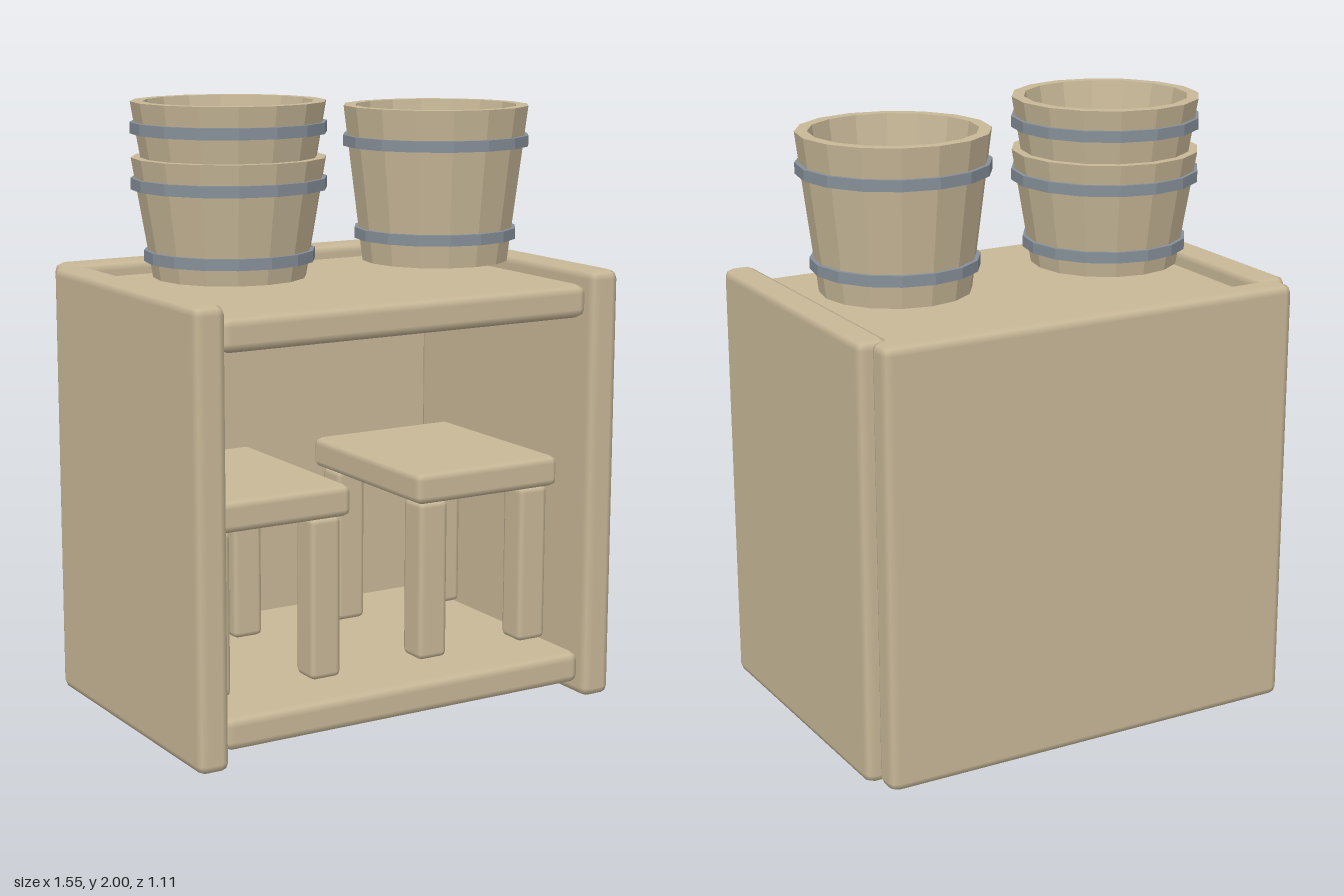
import * as THREE from 'three';
import { RoundedBoxGeometry } from 'three/addons/geometries/RoundedBoxGeometry.js';

const wood = new THREE.MeshStandardMaterial({ color: 0xc8b898 });
wood.name = 'wood';
const staveWood = new THREE.MeshStandardMaterial({ color: 0xc8b898, flatShading: true });
staveWood.name = 'stave wood';
const iron = new THREE.MeshStandardMaterial({ color: 0x868f99, flatShading: true });
iron.name = 'iron';

// Softly bevelled board given by its min and max on each axis
function board(name, [x0, x1], [y0, y1], [z0, z1], bevel = 0.03) {
  const geo = new RoundedBoxGeometry(x1 - x0, y1 - y0, z1 - z0, 1, bevel);
  const mesh = new THREE.Mesh(geo, wood);
  mesh.name = name;
  mesh.position.set((x0 + x1) / 2, (y0 + y1) / 2, (z0 + z1) / 2);
  return mesh;
}

function lathe(name, points, material) {
  const geo = new THREE.LatheGeometry(points.map(([r, y]) => new THREE.Vector2(r, y)), 16);
  const mesh = new THREE.Mesh(geo, material);
  mesh.name = name;
  return mesh;
}

// Tapered open bucket with two hoops
function bucket(name, x, y, height, hoopHeights) {
  const group = new THREE.Group();
  group.name = name;
  const rBase = 0.245, rRim = 0.31;
  group.add(lathe('bucketBody', [
    [0, 0], [rBase, 0], [rRim, height], [0.27, height], [0.205, 0.05], [0, 0.05],
  ], staveWood));
  for (const h of hoopHeights) {
    const r = rBase + (rRim - rBase) * h / height;
    const outer = r + 0.016, inner = r - 0.015, half = 0.018;
    group.add(lathe('hoop', [
      [inner, h - half], [outer, h - half], [outer, h + half], [inner, h + half],
    ], iron));
  }
  group.position.set(x, y, 0.03);
  return group;
}

// Stool with a thick seat and four square legs
function stool(name, x) {
  const group = new THREE.Group();
  group.name = name;
  group.add(board('seat', [-0.28, 0.28], [0.695, 0.8], [-0.34, 0.34], 0.025));
  for (const sx of [-1, 1]) for (const sz of [-1, 1]) {
    const lx = sx * 0.2, lz = sz * 0.26;
    group.add(board('leg', [lx - 0.055, lx + 0.055], [0.16, 0.697], [lz - 0.055, lz + 0.055], 0.02));
  }
  group.position.set(x, 0, 0.035);
  return group;
}

export function createModel() {
  const model = new THREE.Group();
  model.name = 'bucketCabinet';

  // Cabinet
  for (const [name, s] of [['leftSide', 1], ['rightSide', -1]]) {
    const xs = [s * 0.67, s * 0.777].sort((a, b) => a - b);
    model.add(board(name, xs, [0, 1.445], [-0.467, 0.555]));
  }
  model.add(board('back', [-0.737, 0.737], [0, 1.445], [-0.557, -0.455]));
  model.add(board('topShelf', [-0.672, 0.668], [1.29, 1.4], [-0.455, 0.53]));
  model.add(board('bottomShelf', [-0.672, 0.668], [0.05, 0.16], [-0.455, 0.53]));

  // Stools inside
  model.add(stool('rightStool', -0.41), stool('leftStool', 0.4));

  // Two nested short buckets and one tall bucket
  model.add(
    bucket('lowerBucket', -0.38, 1.445, 0.38, [0.07, 0.298]),
    bucket('nestedBucket', -0.38, 1.62, 0.38, [0.07, 0.298]),
    bucket('tallBucket', 0.4, 1.445, 0.515, [0.093, 0.4]),
  );
  return model;
}
